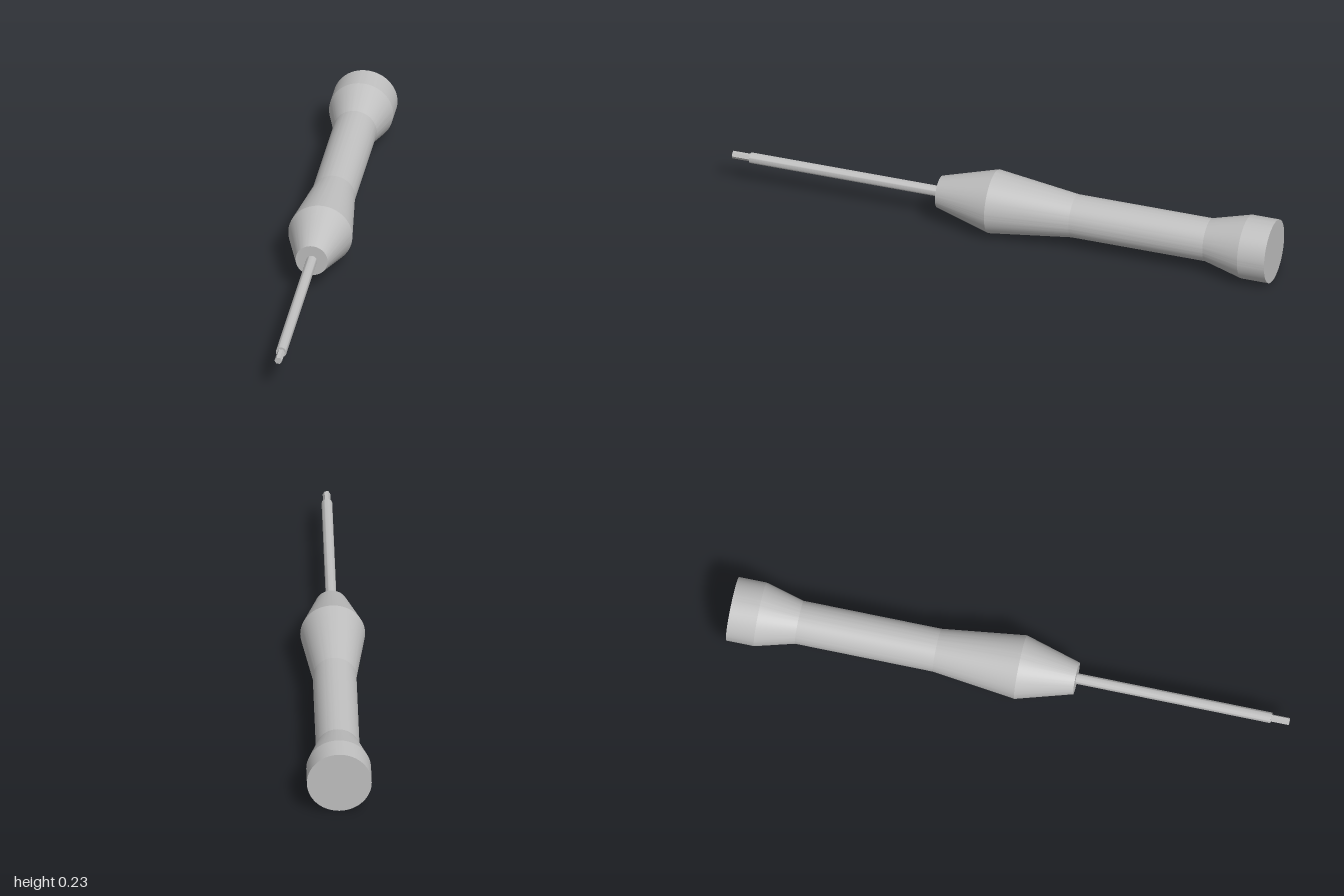
import * as THREE from 'three';
import { toCreasedNormals } from 'three/addons/utils/BufferGeometryUtils.js';

const AXIS_HEIGHT = 0.114;

export function createModel() {
  const model = new THREE.Group();
  model.name = 'screwdriver';
  const grey = new THREE.MeshStandardMaterial({ color: 0xc0c0c0 });
  grey.name = 'grey';

  // Lays an upright turned shape along z, sharpens its edges and adds it
  const addTurned = (name, geometry, crease) => {
    geometry.rotateX(Math.PI / 2);
    const mesh = new THREE.Mesh(toCreasedNormals(geometry, crease), grey);
    mesh.name = name;
    mesh.position.y = AXIS_HEIGHT;
    model.add(mesh);
  };

  // Handle: flared butt, slim grip, swollen collar and tapered nose [radius, z]
  const profile = [
    [0, -1], [0.114, -1], [0.114, -0.9], [0.077, -0.76],
    [0.077, -0.265], [0.114, 0.035], [0.057, 0.235], [0, 0.235],
  ].map(([r, z]) => new THREE.Vector2(r, z));
  addTurned('handle', new THREE.LatheGeometry(profile, 72), 0.11);

  // Round shaft, seated slightly inside the nose
  const shaft = new THREE.CylinderGeometry(0.019, 0.019, 0.735, 32);
  shaft.translate(0, 0.5675, 0);
  addTurned('shaft', shaft, 0.5);

  // Hexagonal driver tip with flats at top and bottom
  const tip = new THREE.CylinderGeometry(0.0135, 0.0135, 0.085, 6, 1, false, Math.PI / 6);
  tip.translate(0, 0.9575, 0);
  addTurned('hexTip', tip, 0.5);

  return model;
}
